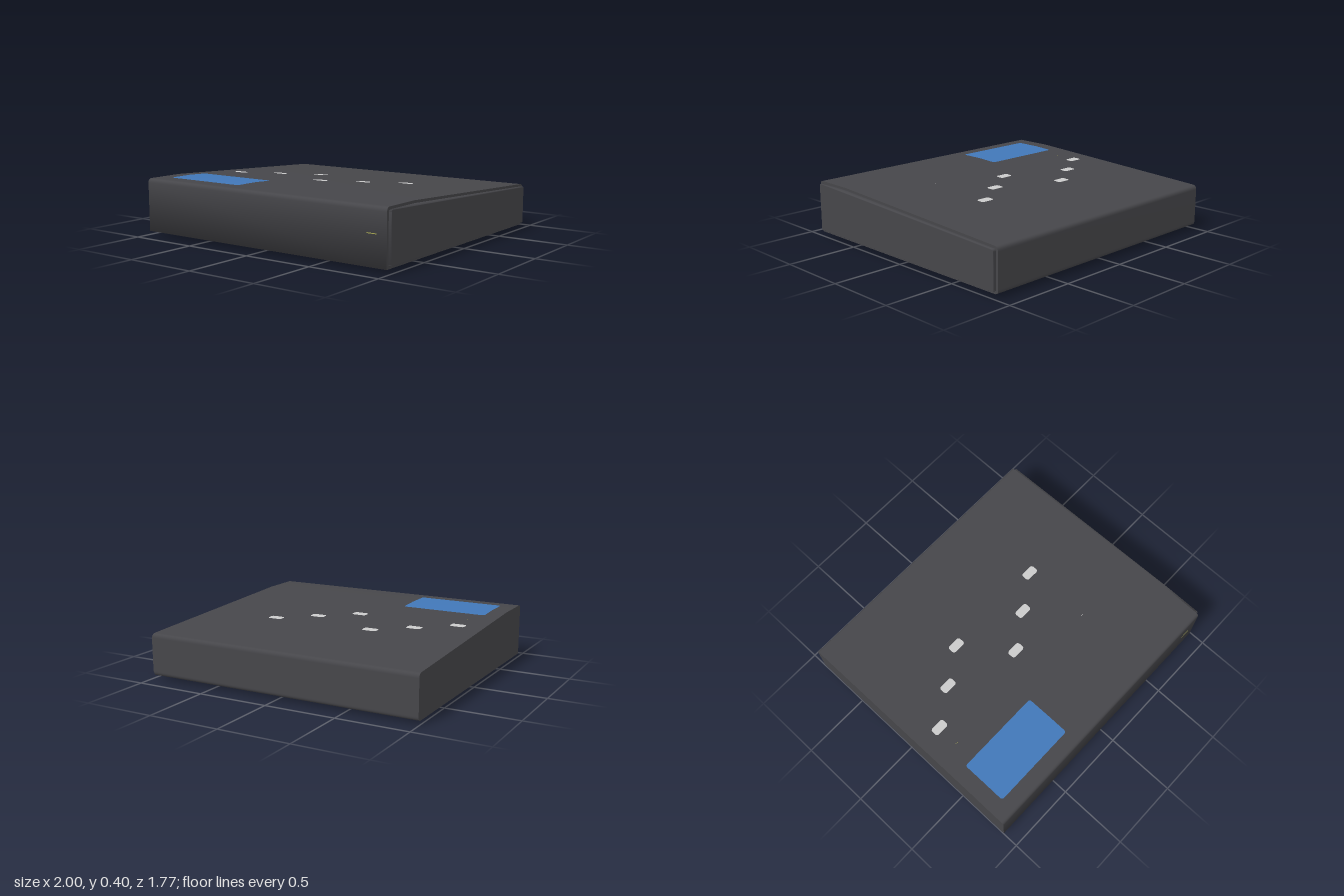
import * as THREE from 'three';

const mat = (name, color, side = THREE.FrontSide) => {
  const m = new THREE.MeshStandardMaterial({ color, side });
  m.name = name;
  return m;
};

// Corner list [u, y, radius] to a rounded outline, counter-clockwise, with u = -z
function outline(corners) {
  const pts = [];
  corners.forEach(([u, y, r], i) => {
    const p = new THREE.Vector2(u, y);
    if (!r) return pts.push(p);
    const n = corners.length;
    const toward = ([a, b]) => new THREE.Vector2(a, b).sub(p).setLength(r).add(p);
    const curve = new THREE.QuadraticBezierCurve(
      toward(corners[(i + n - 1) % n]), p, toward(corners[(i + 1) % n]));
    pts.push(...curve.getPoints(6));
  });
  return pts;
}

// Solid between x0 and x1; the walls are smooth, the caps smooth or sharp
function prism(pts, x0, x1, smoothCaps) {
  const n = pts.length, pos = [], idx = [];
  const ring = x => pts.forEach(p => pos.push(x, p.y, -p.x));
  ring(x0);
  ring(x1);
  for (let i = 0; i < n; i++) {
    const j = (i + 1) % n;
    idx.push(i, j, n + j, i, n + j, n + i);
  }
  let base = 0;
  if (!smoothCaps) {
    ring(x0);
    ring(x1);
    base = 2 * n;
  }
  for (const [a, b, c] of THREE.ShapeUtils.triangulateShape(pts, [])) {
    idx.push(base + c, base + b, base + a);
    idx.push(base + n + a, base + n + b, base + n + c);
  }
  const g = new THREE.BufferGeometry();
  g.setAttribute('position', new THREE.Float32BufferAttribute(pos, 3));
  g.setIndex(idx);
  g.computeVertexNormals();
  return g;
}

const FOLD = 0.59;
const topY = z => (z > FOLD ? 0.395 : 0.395 - (FOLD - z) * 0.075 / (0.885 + FOLD));

// Thin rounded plate lying on the sloping top, centred at (x, z)
function topPlate(x, z, w, d, r) {
  const rows = [];
  for (let k = 0; k <= 6; k++) {
    const a = k / 6 * Math.PI / 2;
    const inset = r * (1 - Math.sin(a)), off = d / 2 - r + r * Math.cos(a);
    rows.push([z - off, inset], [z + off, inset]);
  }
  if (Math.abs(FOLD - z) < d / 2 - r) rows.push([FOLD, 0]);
  rows.sort((a, b) => a[0] - b[0]);
  const pos = [], idx = [];
  rows.forEach(([rz, inset], i) => {
    const h = w / 2 - inset, y = topY(rz) + 0.003;
    pos.push(x - h, y, rz, x + h, y, rz);
    if (i) {
      const k = 2 * i;
      idx.push(k - 2, k, k - 1, k - 1, k, k + 1);
    }
  });
  const g = new THREE.BufferGeometry();
  g.setAttribute('position', new THREE.Float32BufferAttribute(pos, 3));
  g.setIndex(idx);
  g.computeVertexNormals();
  return g;
}

export function createModel() {
  const group = new THREE.Group();
  const casing = mat('charcoal casing', 0x46464a);
  const rubber = mat('dark rubber', 0x2c2d32);
  const blue = mat('blue screen', 0x4177b8, THREE.DoubleSide);
  const grey = mat('light grey', 0xcacaca, THREE.DoubleSide);
  const yellow = mat('yellow mark', 0xa8a850, THREE.DoubleSide);
  const add = (name, geo, material, x = 0, y = 0, z = 0) => {
    const m = new THREE.Mesh(geo, material);
    m.name = name;
    m.position.set(x, y, z);
    group.add(m);
  };

  // Wedge-shaped casing with a sharp front lower edge
  add('casing', prism(outline([
    [-0.885, 0.025, 0], [0.885, 0.025, 0.03], [0.885, 0.32, 0.03],
    [-FOLD, 0.395, 0], [-0.885, 0.395, 0.03],
  ]), -1, 0.98, false), casing);

  // Slightly smaller raised panel on the +x side
  add('sidePanel', prism(outline([
    [-0.867, 0.043, 0.01], [0.867, 0.043, 0.012], [0.867, 0.304, 0.015],
    [-FOLD, 0.378, 0], [-0.867, 0.378, 0.015],
  ]), 0.97, 1, true), casing);

  // Feet
  for (const x of [-0.87, 0.87]) for (const z of [-0.73, 0.73])
    add('foot', new THREE.CylinderGeometry(0.06, 0.037, 0.027, 24), rubber, x, 0.0135, z);

  // Display and two diagonal runs of three buttons
  add('screen', topPlate(-0.58, 0.605, 0.62, 0.33, 0.018), blue);
  for (const x0 of [-0.82, -0.072]) for (let i = 0; i < 3; i++)
    add('button', topPlate(x0 + i * 0.249, 0.13 - i * 0.164, 0.106, 0.062, 0.018), grey);

  // Tiny indicator dots and the front mark
  for (const [x, m] of [[-0.82, yellow], [0.43, grey]]) for (const s of [-0.006, 0.006])
    add('indicator', topPlate(x + s, 0.29, 0.005, 0.005, 0.002), m);
  add('frontMark', new THREE.BoxGeometry(0.07, 0.005, 0.004), yellow, 0.873, 0.23, 0.885);

  return group;
}
